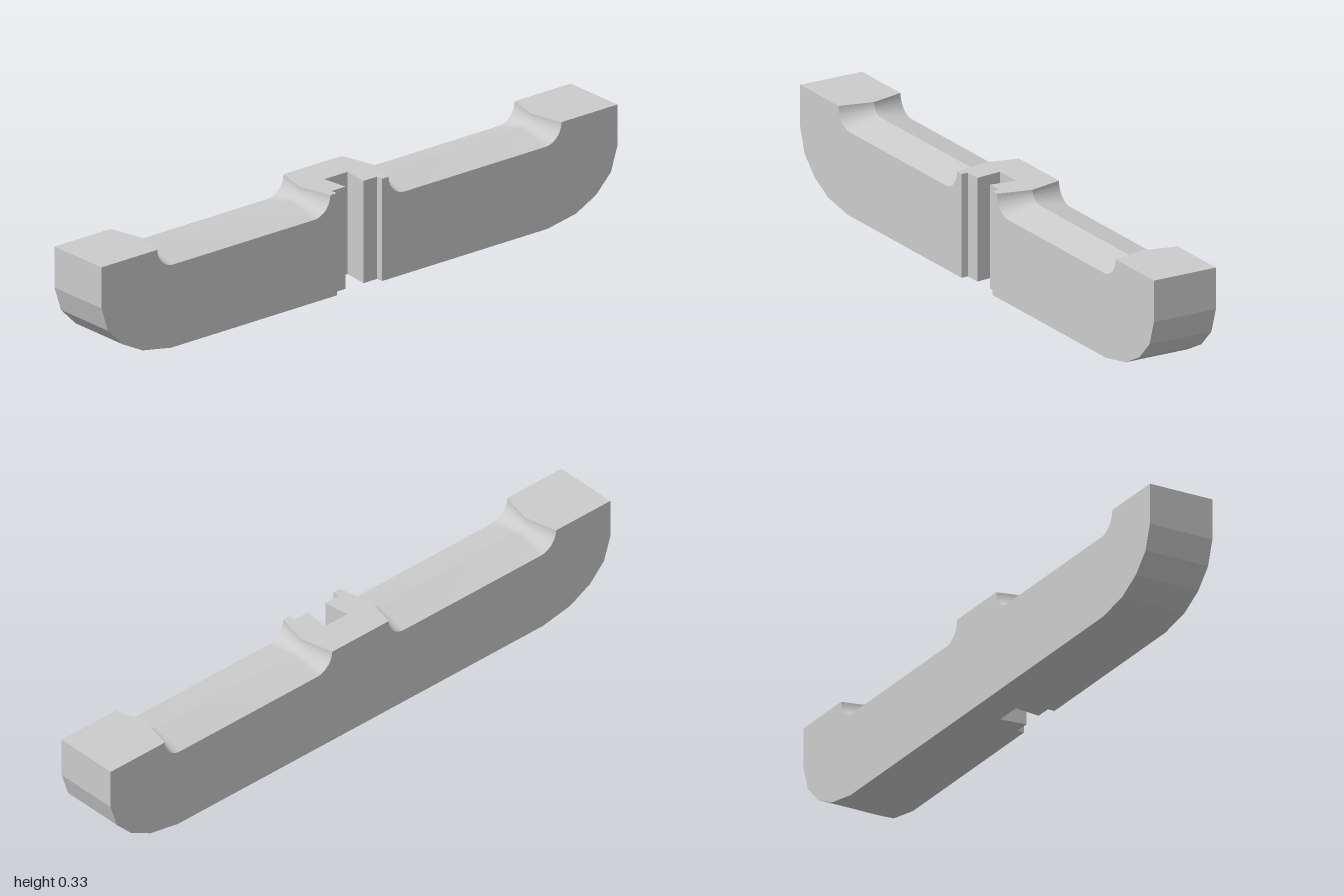
import * as THREE from 'three';
import { toCreasedNormals } from 'three/addons/utils/BufferGeometryUtils.js';

const W = 0.108;      // half width
const TOP = 0.327;    // height
const MID = 0.088;    // half length of the slotted middle
const STEPS = 16;     // segments per fillet

// Rounded underside, from the end wall to the flat keel (z, y)
const HULL = [[1, TOP], [1, 0.196], [0.975, 0.118], [0.918, 0.06], [0.84, 0.02], [0.73, 0], [MID, 0]];

// Dovetail slot with a wide rebate in the +x side (x, z)
const SLOT = [[W, -MID], [0.085, -MID], [0.085, -0.035], [0, -0.045],
  [0, 0.045], [0.085, 0.035], [0.085, MID], [W, MID]];

// Upper outline of one arm; fillet radius r also sets the channel depth
function topLine(r) {
  const line = [[MID, TOP]];
  for (const [centre, start] of [[0.176, Math.PI], [0.72, Math.PI * 1.5]]) {
    for (let i = 0; i <= STEPS; i++) {
      const a = start + (i / STEPS) * Math.PI / 2;
      line.push([centre + r * Math.cos(a), TOP + r * Math.sin(a)]);
    }
  }
  line.push([1, TOP]);
  return line;
}

// Collects triangles, each turned to face the given outward direction
class Skin {
  constructor() { this.points = []; }
  tri(a, b, c, out) {
    const n = new THREE.Triangle(a, b, c).getNormal(new THREE.Vector3());
    const order = n.dot(out) < 0 ? [a, c, b] : [a, b, c];
    for (const p of order) this.points.push(p.x, p.y, p.z);
  }
  // Band between two matching rows of points
  strip(rowA, rowB, out) {
    for (let i = 0; i + 1 < rowA.length; i++) {
      this.tri(rowA[i], rowA[i + 1], rowB[i + 1], out);
      this.tri(rowA[i], rowB[i + 1], rowB[i], out);
    }
  }
  // Flat outline placed in space by a mapping function
  face(outline, place, out) {
    const flat = outline.map(([u, v]) => new THREE.Vector2(u, v));
    for (const t of THREE.ShapeUtils.triangulateShape(flat, [])) {
      this.tri(...t.map((i) => place(flat[i].x, flat[i].y)), out);
    }
  }
  mesh(name, material) {
    const g = new THREE.BufferGeometry();
    g.setAttribute('position', new THREE.Float32BufferAttribute(this.points, 3));
    const mesh = new THREE.Mesh(toCreasedNormals(g, 0.14), material);
    mesh.name = name;
    return mesh;
  }
}

const vec = (x, y, z) => new THREE.Vector3(x, y, z);

// One arm with its ridged channel; s = +1 front, -1 back
function arm(s) {
  const skin = new Skin();
  const row = (line, x) => line.map(([z, y]) => vec(x, y, s * z));
  const edge = topLine(0.063), ridge = topLine(0.037);
  for (const x of [-W, W]) {
    skin.strip(row(edge, x), row(ridge, 0), vec(0, 1, 0));
    skin.face([...edge, ...HULL.slice(1)], (z, y) => vec(x, y, s * z), vec(x, 0, 0));
  }
  skin.strip(row(HULL, -W), row(HULL, W), vec(0, -1, s));
  return skin;
}

// Middle section with the vertical slot
function middle() {
  const skin = new Skin();
  const plan = [...SLOT, [-W, MID], [-W, -MID]];
  skin.face(plan, (x, z) => vec(x, TOP, z), vec(0, 1, 0));
  skin.face(plan, (x, z) => vec(x, 0, z), vec(0, -1, 0));
  const walls = [...SLOT.slice(1).map((p, i) => [SLOT[i], p]), [[-W, MID], [-W, -MID]]];
  for (const [[x0, z0], [x1, z1]] of walls) {
    skin.strip([vec(x0, 0, z0), vec(x1, 0, z1)], [vec(x0, TOP, z0), vec(x1, TOP, z1)],
      vec(z1 - z0, 0, x0 - x1));
  }
  return skin;
}

export function createModel() {
  const material = new THREE.MeshStandardMaterial({ color: 0xcccccc });
  const group = new THREE.Group();
  group.name = 'slottedBar';
  group.add(
    arm(1).mesh('frontArm', material),
    arm(-1).mesh('backArm', material),
    middle().mesh('slottedMiddle', material),
  );
  return group;
}
